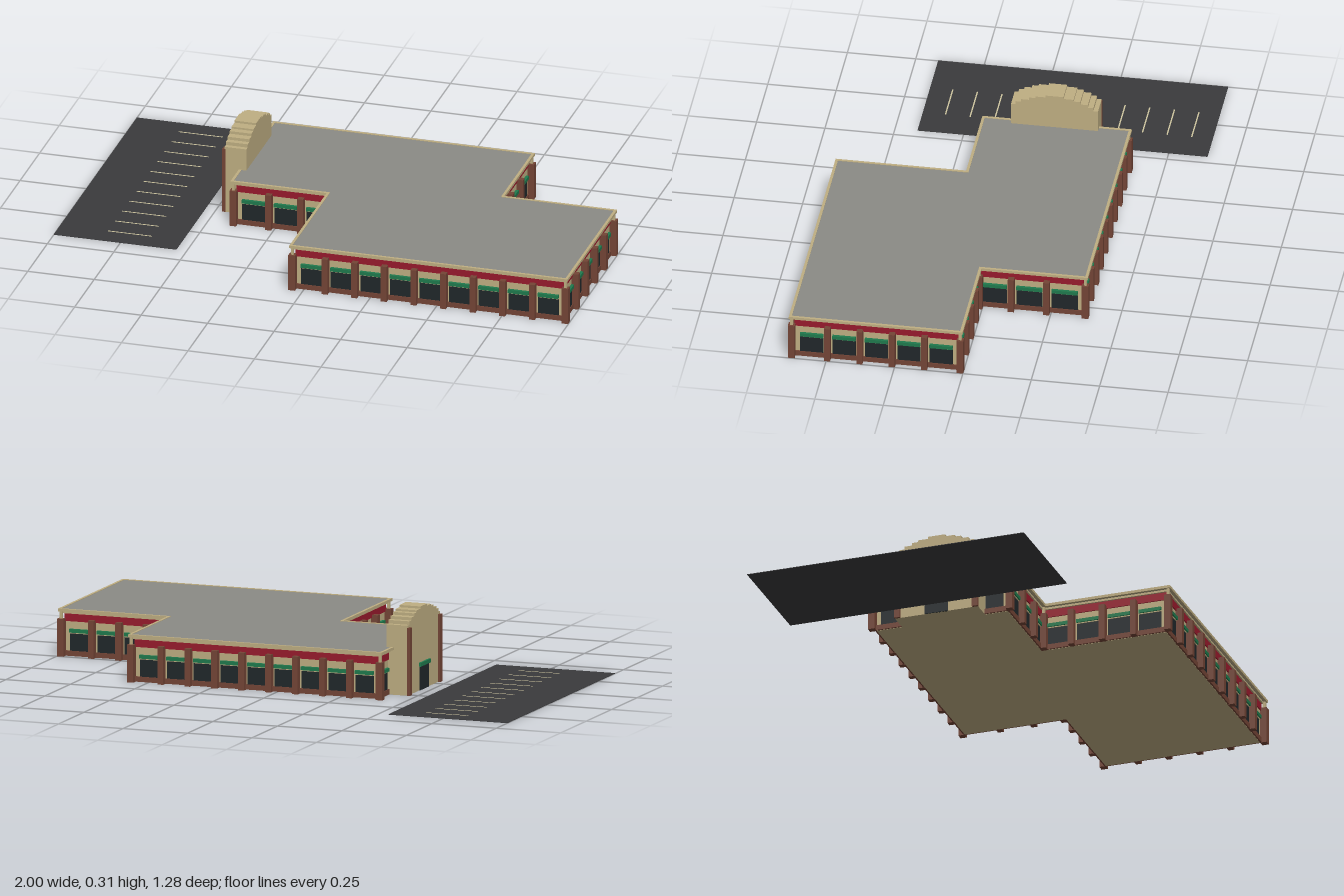
import * as THREE from 'three';

const mat = (color) => new THREE.MeshStandardMaterial({ color });
const TAN = mat(0xbfae82), BRICK = mat(0x744536), RED = mat(0x981a2c), GREEN = mat(0x1f7a4d);
const GLASS = mat(0x20272a), ROOF = mat(0x8b8b85), ASPHALT = mat(0x3a3a3c), PAINT = mat(0xcfc6a0);

// Roof outline as [x, z], counter-clockwise from the front, and window bays per side
const OUTLINE = [
  [-0.05, 0.637], [0.996, 0.637], [0.996, 0.002], [0.572, 0.002],
  [0.572, -0.386], [-0.412, -0.386], [-0.412, 0.16], [-0.05, 0.16],
];
const BAYS = [9, 5, 4, 3, 9, 5, 3, 4];
const ENTRANCE_SIDE = 5;
const WALL_INSET = 0.022;

function box(parent, name, material, size, pos) {
  const mesh = new THREE.Mesh(new THREE.BoxGeometry(...size), material);
  mesh.name = name;
  mesh.position.set(...pos);
  parent.add(mesh);
  return mesh;
}

// Right-angled outline moved inwards by d
function inset(d) {
  const n = OUTLINE.length;
  const normal = (a, b) => {
    const dx = b[0] - a[0], dz = b[1] - a[1], l = Math.hypot(dx, dz);
    return [-dz / l, dx / l];
  };
  return OUTLINE.map((p, i) => {
    const a = normal(OUTLINE[(i + n - 1) % n], p), b = normal(p, OUTLINE[(i + 1) % n]);
    return [p[0] - d * (a[0] + b[0]), p[1] - d * (a[1] + b[1])];
  });
}

// Horizontal slab following the building outline
function layer(parent, name, material, d, y0, y1, hole) {
  const points = (k) => inset(k).map(([x, z]) => new THREE.Vector2(x, -z));
  const shape = new THREE.Shape(points(d));
  if (hole) shape.holes.push(new THREE.Path(points(hole)));
  const geo = new THREE.ExtrudeGeometry(shape, { depth: y1 - y0, bevelEnabled: false });
  geo.rotateX(-Math.PI / 2);
  const mesh = new THREE.Mesh(geo, material);
  mesh.name = name;
  mesh.position.y = y0;
  parent.add(mesh);
}

// Window with awning and trim; local z points out of the wall
function windowBay(parent, x, pitch) {
  const bay = new THREE.Group();
  bay.name = 'windowBay';
  bay.position.x = x;
  const w = pitch - 0.034;
  box(bay, 'windowGlass', GLASS, [w, 0.064, 0.004], [0, 0.052, 0.001]);
  box(bay, 'windowHead', TAN, [w, 0.004, 0.008], [0, 0.086, 0.002]);
  box(bay, 'awning', GREEN, [w, 0.013, 0.012], [0, 0.094, 0.005]);
  parent.add(bay);
}

function pier(parent, x) {
  box(parent, 'pier', BRICK, [0.022, 0.138, 0.026], [x, 0.069, 0.012]);
}

function building() {
  const g = new THREE.Group();
  g.name = 'building';
  layer(g, 'walls', TAN, WALL_INSET, 0, 0.16);
  layer(g, 'brickBase', BRICK, WALL_INSET - 0.006, 0.001, 0.02);
  layer(g, 'redBand', RED, WALL_INSET - 0.004, 0.128, 0.157);
  layer(g, 'cornice', TAN, 0.012, 0.157, 0.165);
  layer(g, 'roofRim', TAN, 0, 0.165, 0.175, 0.01);
  layer(g, 'roof', ROOF, 0.009, 0.165, 0.173);

  // Bays and piers along each wall
  const wall = inset(WALL_INSET);
  wall.forEach((a, s) => {
    const b = wall[(s + 1) % wall.length];
    const dx = b[0] - a[0], dz = b[1] - a[1], n = BAYS[s];
    const pitch = Math.hypot(dx, dz) / n;
    const side = new THREE.Group();
    side.name = 'wallSide';
    side.position.set(a[0], 0, a[1]);
    side.rotation.y = Math.atan2(-dz, dx);
    for (let i = 0; i < n; i++) {
      const open = s !== ENTRANCE_SIDE || i === 0 || i === n - 1;
      if (open) windowBay(side, (i + 0.5) * pitch, pitch);
      if (i > 0 && s !== ENTRANCE_SIDE) pier(side, i * pitch);
    }
    g.add(side);
  });

  // Corner piers with small brackets under the cornice
  inset(0.0095).forEach(([x, z]) => {
    box(g, 'cornerPier', BRICK, [0.025, 0.138, 0.025], [x, 0.069, z]);
    box(g, 'cornerBracket', TAN, [0.01, 0.027, 0.01], [x, 0.1515, z]);
  });
  return g;
}

// Entrance block with a stepped arched top
function entrance() {
  const g = new THREE.Group();
  g.name = 'entrance';
  g.position.z = -0.108;
  const steps = [
    [0.159, 0.257], [0.142, 0.27], [0.122, 0.281], [0.094, 0.291], [0.07, 0.298], [0.033, 0.306],
  ];
  const right = [[0.159, 0]];
  steps.forEach(([w, y], i) => {
    right.push([w, y]);
    if (i < steps.length - 1) right.push([steps[i + 1][0], y]);
  });
  const left = right.map(([x, y]) => [-x, y]).reverse();
  const shape = new THREE.Shape([...right, ...left].map((p) => new THREE.Vector2(...p)));
  const geo = new THREE.ExtrudeGeometry(shape, { depth: 0.082, bevelEnabled: false });
  geo.rotateY(-Math.PI / 2);
  const tower = new THREE.Mesh(geo, TAN);
  tower.name = 'entranceTower';
  tower.position.x = -0.384;
  g.add(tower);
  for (const s of [-1, 1]) {
    box(g, 'entrancePier', BRICK, [0.012, 0.248, 0.022], [-0.469, 0.124, s * 0.149]);
  }
  box(g, 'door', GLASS, [0.006, 0.088, 0.09], [-0.466, 0.044, 0]);
  box(g, 'doorAwning', GREEN, [0.01, 0.014, 0.1], [-0.469, 0.095, 0]);
  return g;
}

// Parking area with painted bay lines
function parking() {
  const g = new THREE.Group();
  g.name = 'parkingLot';
  box(g, 'asphalt', ASPHALT, [0.461, 0.002, 1.06], [-0.7695, 0.001, -0.112]);
  for (let i = 0; i < 11; i++) {
    box(g, 'bayLine', PAINT, [0.165, 0.001, 0.005], [-0.7375, 0.0022, -0.565 + i * 0.09]);
  }
  return g;
}

export function createModel() {
  const model = new THREE.Group();
  model.name = 'shopBuilding';
  model.add(building(), entrance(), parking());
  return model;
}
